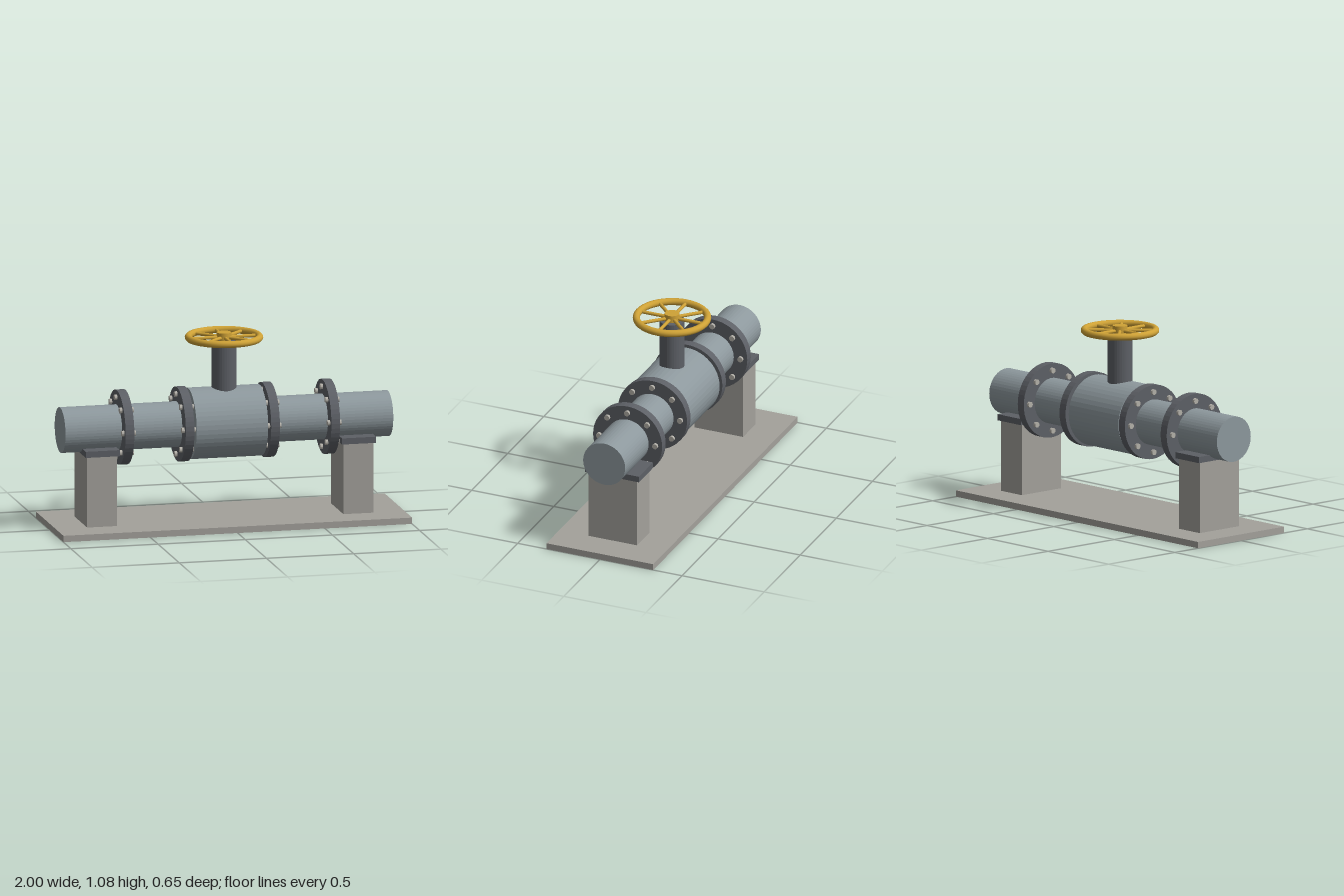
import * as THREE from 'three';

const material = (color, flatShading = true) => new THREE.MeshStandardMaterial({ color, flatShading });
const pipeMat = material(0x8d989d);
const darkMat = material(0x5d6066);
const boltMat = material(0xb3b0a8);
const concreteMat = material(0xa3a19b);
const wheelMat = material(0xcfa236, false);

const AXIS_Y = 0.567; // height of the pipe centreline

export function createModel() {
  const model = new THREE.Group();
  model.name = 'pipelineValve';

  const add = (parent, name, geometry, mat, x = 0, y = 0, z = 0) => {
    const mesh = new THREE.Mesh(geometry, mat);
    mesh.name = name;
    mesh.position.set(x, y, z);
    parent.add(mesh);
    return mesh;
  };
  // cylinder lying along x
  const xCylinder = (radius, length, sides) =>
    new THREE.CylinderGeometry(radius, radius, length, sides).rotateZ(Math.PI / 2);

  // ground slab
  add(model, 'basePlate', new THREE.BoxGeometry(2, 0.036, 0.65), concreteMat, 0, 0.018);

  // support piers with saddles under each pipe end
  for (const side of [-1, 1]) {
    const support = new THREE.Group();
    support.name = side > 0 ? 'leftSupport' : 'rightSupport';
    support.position.x = side * 0.735;
    add(support, 'pier', new THREE.BoxGeometry(0.172, 0.401, 0.296), concreteMat, 0, 0.2365);
    add(support, 'saddle', new THREE.BoxGeometry(0.195, 0.035, 0.328), darkMat, 0, 0.4545);
    model.add(support);
  }

  // pipe and wider valve body
  add(model, 'pipe', xCylinder(0.128, 1.88, 48), pipeMat, 0, AXIS_Y);
  add(model, 'valveBody', xCylinder(0.2, 0.41, 48), pipeMat, 0, AXIS_Y);

  // bolted flanges
  const flangeGeo = xCylinder(0.21, 0.05, 48);
  const boltGeo = xCylinder(0.016, 0.08, 12);
  for (const x of [-0.59, -0.245, 0.245, 0.59]) {
    const flange = new THREE.Group();
    flange.name = 'flange';
    flange.position.set(x, AXIS_Y, 0);
    add(flange, 'flangeDisc', flangeGeo, darkMat);
    for (let i = 0; i < 8; i++) {
      const a = (i * Math.PI) / 4;
      add(flange, 'bolt', boltGeo, boltMat, 0, 0.171 * Math.cos(a), 0.171 * Math.sin(a));
    }
    model.add(flange);
  }

  // stem housing rising from the body
  add(model, 'stem', new THREE.CylinderGeometry(0.07, 0.07, 0.42, 32), darkMat, 0, 0.825);

  // handwheel: rim, hub and spokes
  const wheel = new THREE.Group();
  wheel.name = 'handwheel';
  wheel.position.y = 1.049;
  add(wheel, 'rim', new THREE.TorusGeometry(0.199, 0.02, 12, 48).rotateX(Math.PI / 2), wheelMat);
  add(wheel, 'hub', new THREE.CylinderGeometry(0.041, 0.041, 0.056, 24), wheelMat);
  const spokeGeo = xCylinder(0.01, 0.18, 10).translate(0.11, 0, 0);
  for (let i = 0; i < 8; i++) {
    add(wheel, 'spoke', spokeGeo, wheelMat).rotation.y = (i * Math.PI) / 4;
  }
  model.add(wheel);

  return model;
}
